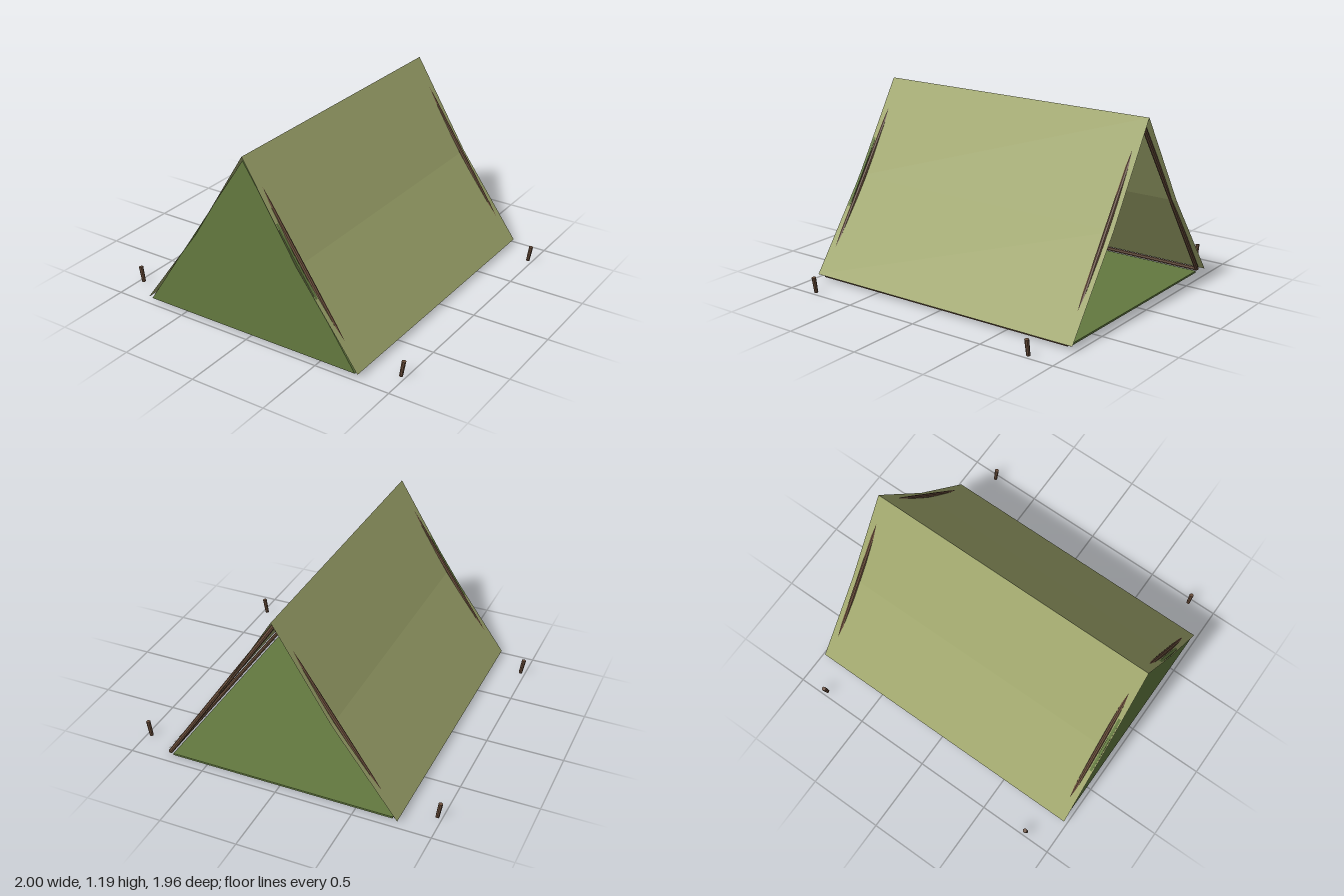
import * as THREE from 'three';

const material = (color) => new THREE.MeshStandardMaterial({ color, flatShading: true, side: THREE.DoubleSide });

export function createModel() {
  const tent = new THREE.Group();
  tent.name = 'tent';
  const canvas = material(0x9ea56b);
  const cloth = material(0x63793f);
  const wood = material(0x6b4f3c);

  const add = (name, geometry, mat) => {
    const mesh = new THREE.Mesh(geometry, mat);
    mesh.name = name;
    tent.add(mesh);
    return mesh;
  };

  // Straight rod between two points
  const rod = (name, from, to, radius, endRadius = radius) => {
    const a = new THREE.Vector3(...from);
    const b = new THREE.Vector3(...to);
    const dir = b.clone().sub(a);
    const mesh = add(name, new THREE.CylinderGeometry(endRadius, radius, dir.length(), 8), wood);
    mesh.position.copy(a).add(b).multiplyScalar(0.5);
    mesh.quaternion.setFromUnitVectors(new THREE.Vector3(0, 1, 0), dir.normalize());
  };

  // Roof sheets, creased inward halfway down each slope
  const slope = [[0, 1.19], [0.367, 0.594], [0.78, 0.03]];
  for (const side of [1, -1]) {
    const sheet = new THREE.PlaneGeometry(1.96, 1, 1, 2);
    const pos = sheet.attributes.position;
    for (let i = 0; i < pos.count; i++) {
      const [x, y] = slope[Math.floor(i / 2)];
      pos.setXYZ(i, side * x, y, -side * pos.getX(i));
    }
    sheet.computeVertexNormals();
    add(side > 0 ? 'leftRoof' : 'rightRoof', sheet, canvas);
  }

  // Closed front door; the back stays open
  const outline = new THREE.Shape([
    new THREE.Vector2(-0.757, 0.025),
    new THREE.Vector2(0.757, 0.025),
    new THREE.Vector2(0, 1.163),
  ]);
  const door = add('frontDoor', new THREE.ExtrudeGeometry(outline, { depth: 0.018, bevelEnabled: false }), cloth);
  door.position.z = 0.955;

  // Groundsheet
  const floor = add('groundsheet', new THREE.BoxGeometry(1.47, 0.012, 1.88), cloth);
  floor.position.y = 0.012;

  for (const side of [1, -1]) {
    // Base rail along each side
    rod('baseRail', [side * 0.757, 0.025, -0.935], [side * 0.757, 0.025, 0.935], 0.013);
    for (const end of [1, -1]) {
      // A-frame pole and ground peg at each corner
      rod('framePole', [side * 0.757, 0.025, end * 0.935], [0, 1.15, end * 0.935], 0.014);
      rod('peg', [side * 0.969, 0.002, end * 0.815], [side * 0.986, 0.106, end * 0.815], 0.012, 0.014);
    }
  }
  return tent;
}
